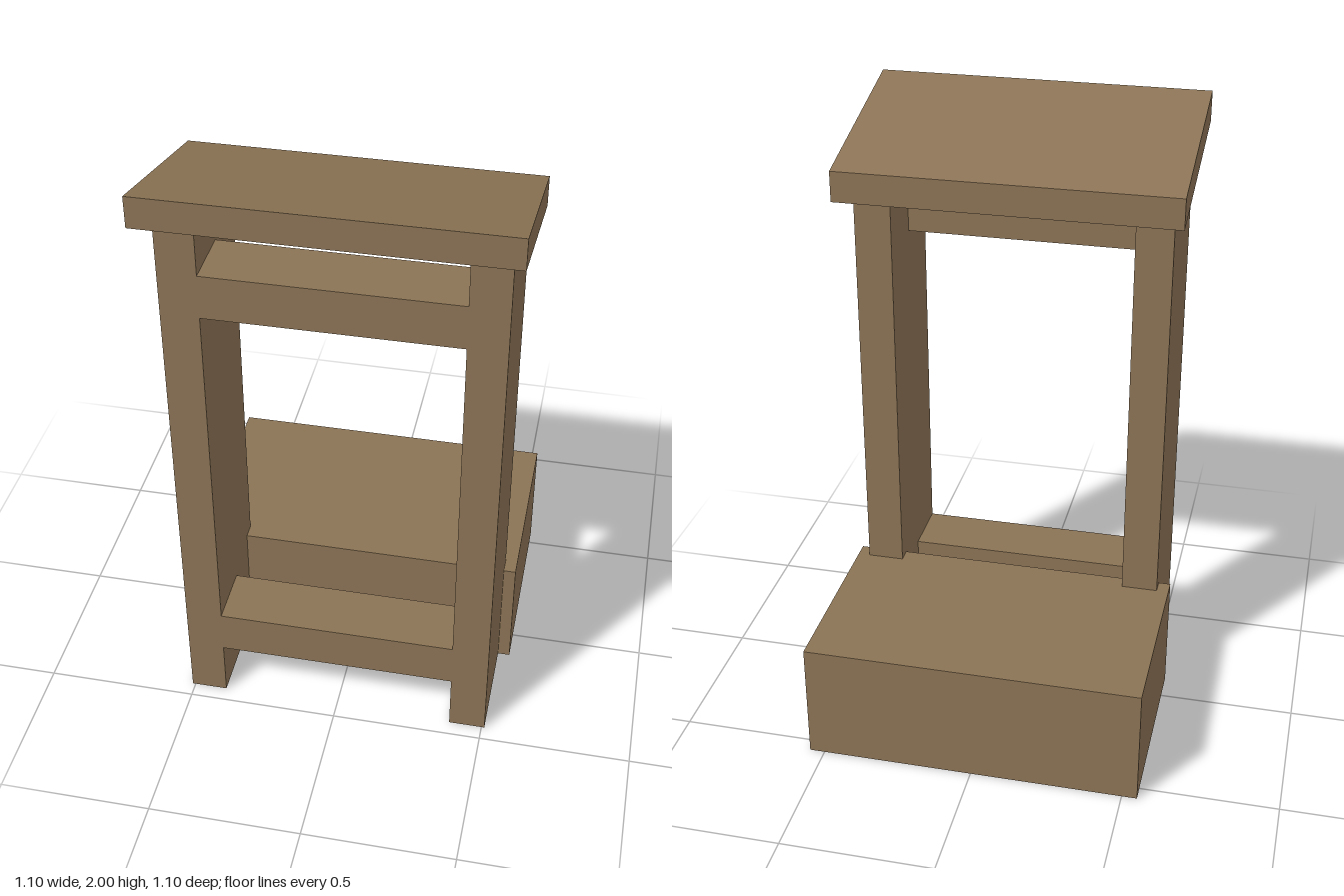
import * as THREE from 'three';

export function createModel() {
  const model = new THREE.Group();
  const wood = new THREE.MeshStandardMaterial({ color: 0x8b7355 });
  wood.name = 'brown wood';

  const add = (name, geometry, x = 0, y = 0, z = 0) => {
    const mesh = new THREE.Mesh(geometry, wood);
    mesh.name = name;
    mesh.position.set(x, y, z);
    model.add(mesh);
  };
  // Box given by its width about x = 0 (or cx), and its y and z ranges
  const box = (name, width, y0, y1, z0, z1, cx = 0) =>
    add(name, new THREE.BoxGeometry(width, y1 - y0, z1 - z0), cx, (y0 + y1) / 2, (z0 + z1) / 2);

  // Kneeling block at the back
  box('kneeler', 1.1, 0, 0.4, -0.55, 0.1);

  // Uprights, with a short peg joining each to the desk
  for (const [side, s] of [['left', 1], ['right', -1]]) {
    box(side + 'Upright', 0.12, 0, 1.85, 0.05, 0.45, s * 0.45);
    add(side + 'Peg', new THREE.CylinderGeometry(0.02, 0.02, 0.05, 12), s * 0.45, 1.865, 0.4);
  }

  // Cross rails, flush with the front of the uprights
  box('lowerRail', 0.78, 0.2, 0.35, 0.25, 0.45);
  box('upperRail', 0.78, 1.555, 1.7, 0.25, 0.45);

  // Sloping desk top: a box sheared so its front and back edges stay vertical
  const desk = new THREE.BoxGeometry(1.1, 0.1, 0.6);
  desk.applyMatrix4(new THREE.Matrix4().set(1, 0, 0, 0, 0, 1, 0.25, 0, 0, 0, 1, 0, 0, 0, 0, 1));
  desk.computeVertexNormals();
  add('deskTop', desk, 0, 1.875, 0.25);

  return model;
}
